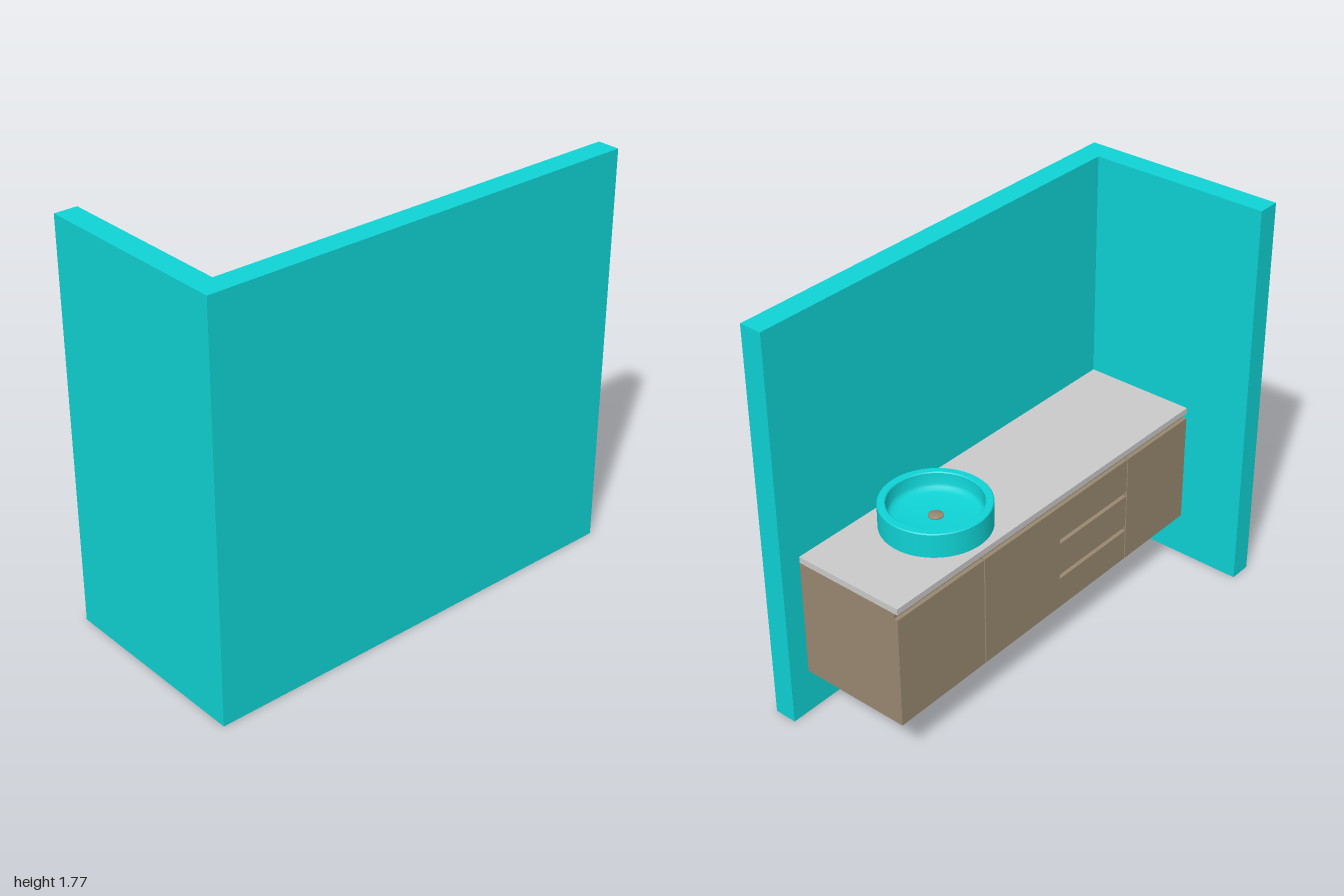
import * as THREE from 'three';
import { toCreasedNormals } from 'three/addons/utils/BufferGeometryUtils.js';

const mat = (name, color) => {
  const m = new THREE.MeshStandardMaterial({ color });
  m.name = name;
  return m;
};

export function createModel() {
  const teal = mat('teal', 0x0fd2d4);
  const brown = mat('brown', 0x98876f);
  const grey = mat('grey', 0xcacaca);

  const model = new THREE.Group();
  model.name = 'washbasinCorner';

  const add = (parent, name, geometry, material) => {
    const mesh = new THREE.Mesh(geometry, material);
    mesh.name = name;
    parent.add(mesh);
    return mesh;
  };
  // Box given by its minimum and maximum on each axis
  const box = (parent, name, material, [x0, x1], [y0, y1], [z0, z1]) => {
    const mesh = add(parent, name, new THREE.BoxGeometry(x1 - x0, y1 - y0, z1 - z0), material);
    mesh.position.set((x0 + x1) / 2, (y0 + y1) / 2, (z0 + z1) / 2);
    return mesh;
  };
  const shapeOf = (pts) => new THREE.Shape(pts.map(([x, y]) => new THREE.Vector2(x, y)));

  // L-shaped walls: plan drawn in x and -z, raised along y
  const plan = shapeOf([
    [-0.45, -1], [0.45, -1], [0.45, 1], [0.35, 1], [0.35, -0.9], [-0.45, -0.9],
  ]);
  const walls = new THREE.ExtrudeGeometry(plan, { depth: 1.77, bevelEnabled: false });
  walls.rotateX(-Math.PI / 2);
  add(model, 'walls', walls, teal);

  // Wall-hung cabinet
  const cabinet = new THREE.Group();
  cabinet.name = 'cabinet';
  model.add(cabinet);
  const bottom = 0.2, doorTop = 0.705, top = 0.729, face = -0.155, t = 0.018;
  const zBack = -0.905, zFront = 0.9, wall = 0.35;
  box(cabinet, 'carcass', grey, [face + t + 0.004, wall], [bottom + 0.004, top], [zBack + t, zFront - t]);
  box(cabinet, 'frontBacking', brown, [face + t, face + t + 0.004], [bottom, top], [zBack + t, zFront - t]);
  for (const [z0, z1] of [[zBack, zBack + t], [zFront - t, zFront]]) {
    box(cabinet, 'endPanel', brown, [face + t, wall], [bottom, top], [z0, z1]);
  }

  // Doors, with narrow seams between them
  const seamA = -0.42, seamB = 0.486, gap = 0.003;
  box(cabinet, 'door', brown, [face, face + t], [bottom, doorTop], [zBack, seamA - gap]);
  box(cabinet, 'door', brown, [face, face + t], [bottom, doorTop], [seamB + gap, zFront]);

  // Middle front with two grip slots cut in from one side (drawn in z and y)
  const zIn = 0.044, zEnd = seamB - gap, slot = 0.024;
  const outline = [[seamA + gap, bottom], [zEnd, bottom]];
  for (const y of [0.345, 0.522]) {
    outline.push([zEnd, y], [zIn, y], [zIn, y + slot], [zEnd, y + slot]);
  }
  outline.push([zEnd, doorTop], [seamA + gap, doorTop]);
  const drawers = new THREE.ExtrudeGeometry(shapeOf(outline), { depth: t, bevelEnabled: false });
  drawers.rotateY(-Math.PI / 2);
  add(cabinet, 'drawerFront', drawers, brown).position.x = face + t;

  // Countertop
  box(model, 'countertop', grey, [face, wall], [top, 0.757], [zBack, zFront]);

  // Round basin and its drain cap
  const basin = new THREE.Group();
  basin.name = 'basin';
  basin.position.set(0.1, 0.757, -0.41);
  model.add(basin);
  const lathe = (pts) => toCreasedNormals(
    new THREE.LatheGeometry(pts.map(([r, y]) => new THREE.Vector2(r, y)), 64), 0.6);
  add(basin, 'bowl', lathe([
    [0, 0], [0.227, 0], [0.227, 0.104], [0.223, 0.108], [0.197, 0.108], [0.193, 0.104],
    [0.191, 0.055], [0.187, 0.044], [0.178, 0.036], [0.165, 0.032], [0.08, 0.028], [0, 0.026],
  ]), teal);
  add(basin, 'drainCap', lathe([
    [0.018, 0.026], [0.018, 0.036], [0.031, 0.036], [0.031, 0.041], [0.026, 0.044], [0, 0.046],
  ]), brown);

  return model;
}
